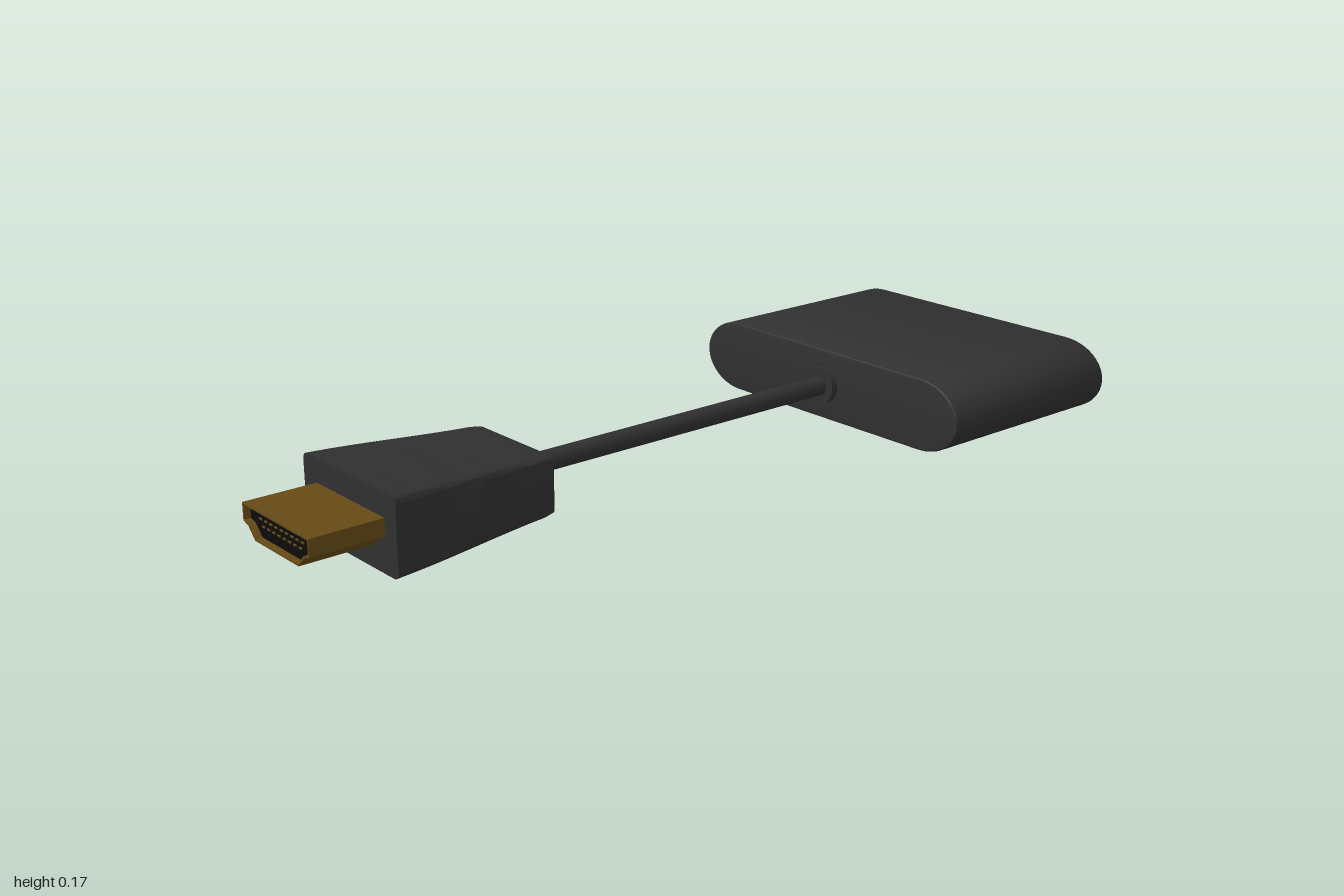
import * as THREE from 'three';
import { toCreasedNormals } from 'three/addons/utils/BufferGeometryUtils.js';

const MID = 0.086; // height of the centre line
const material = (color) => new THREE.MeshStandardMaterial({ color });

export function createModel() {
  const group = new THREE.Group();
  const plastic = material(0x303030);
  const black = material(0x0c0c0c);
  const gold = material(0x654a15);
  const grey = material(0xaaaaaa);

  const add = (name, geometry, mat, x = 0, y = 0, z = 0, parent = group) => {
    const mesh = new THREE.Mesh(geometry, mat);
    mesh.name = name;
    mesh.position.set(x, y, z);
    parent.add(mesh);
    return mesh;
  };
  const extrude = (shape, depth, options = {}) => toCreasedNormals(
    new THREE.ExtrudeGeometry(shape, { depth, bevelEnabled: false, curveSegments: 20, ...options }), 0.6);
  const rod = (r, length) => new THREE.CylinderGeometry(r, r, length, 28).rotateX(Math.PI / 2);
  const polygon = (points) => new THREE.Shape(points.map(([x, y]) => new THREE.Vector2(x, y)));
  const makeGroup = (name) => {
    const part = new THREE.Group();
    part.name = name;
    group.add(part);
    return part;
  };

  // Adapter housing: flat slab with half-elliptical sides and a tiny edge bevel
  const b = 0.005;
  const housing = new THREE.Shape();
  housing.absellipse(0.3, 0, 0.117 - b, MID - b, -Math.PI / 2, Math.PI / 2);
  housing.absellipse(-0.3, 0, 0.117 - b, MID - b, Math.PI / 2, Math.PI * 1.5);
  housing.closePath();
  add('adapterHousing', extrude(housing, 0.526 - 2 * b, {
    bevelEnabled: true, bevelSize: b, bevelThickness: b, bevelSegments: 2,
  }), plastic, 0, MID, -0.998 + b);

  // Rear socket: trapezoid face with three rows of pin holes
  const socket = makeGroup('rearSocket');
  add('socketFace', extrude(polygon([[-0.085, -0.045], [0.085, -0.045], [0.115, 0.045], [-0.115, 0.045]]), 0.01),
    grey, 0, MID, -0.9995, socket);
  for (let row = 0; row < 3; row++) {
    for (let i = 0; i < 5; i++) {
      add('pinHole', rod(0.0045, 0.002), plastic,
        (i - 2) * 0.034 + (row - 1) * 0.008, MID + (row - 1) * 0.025, -0.9992, socket);
    }
  }

  // Screw holes either side of the socket
  for (const side of [-1, 1]) {
    add('screwRing', new THREE.TorusGeometry(0.016, 0.003, 8, 28), grey, side * 0.237, MID, -0.997);
    add('screwHole', rod(0.014, 0.003), black, side * 0.237, MID, -0.9975);
  }

  // Cable with a collar at each end
  add('cable', rod(0.023, 0.94), plastic, 0, MID, -0.02);
  add('housingCollar', rod(0.043, 0.03), plastic, 0, MID, -0.47);
  add('plugCollar', rod(0.041, 0.04), plastic, 0, MID, 0.43);

  // Plug grip: rounded rectangle that tapers towards the cable
  const w = 0.17, h = MID, r = 0.016;
  const outline = new THREE.Shape();
  outline.absarc(w - r, h - r, r, 0, Math.PI / 2);
  outline.absarc(-w + r, h - r, r, Math.PI / 2, Math.PI);
  outline.absarc(-w + r, -h + r, r, Math.PI, Math.PI * 1.5);
  outline.absarc(w - r, -h + r, r, Math.PI * 1.5, Math.PI * 2);
  outline.closePath();
  const length = 0.4;
  const grip = new THREE.ExtrudeGeometry(outline, {
    depth: length, steps: 16, bevelEnabled: false, curveSegments: 6,
  });
  const p = grip.attributes.position;
  for (let i = 0; i < p.count; i++) {
    const t = p.getZ(i) / length;
    const s = 0.6 * t + 0.4 * THREE.MathUtils.smoothstep(t, 0, 1);
    const nose = t < 0.001 ? 0.97 : 1;
    p.setX(i, p.getX(i) * nose * THREE.MathUtils.lerp(0.8, 1, s));
    p.setY(i, p.getY(i) * nose * THREE.MathUtils.lerp(0.75, 1, s));
  }
  add('plugGrip', toCreasedNormals(grip, 0.6), plastic, 0, MID, 0.435);

  // Front connector: thin metal shell around a black core
  const profile = (k) => [
    [-0.126 + k, 0.118 - k], [-0.126 + k, 0.08 + k * 0.6], [-0.107 + k * 0.8, 0.074 + k * 0.8],
    [-0.083 + k * 0.5, 0.05 + k], [0.083 - k * 0.5, 0.05 + k],
    [0.107 - k * 0.8, 0.074 + k * 0.8], [0.126 - k, 0.08 + k * 0.6], [0.126 - k, 0.118 - k],
  ];
  const connector = makeGroup('frontConnector');
  connector.position.x = 0.004;
  const shell = polygon(profile(0));
  shell.holes.push(new THREE.Path(polygon(profile(0.004)).getPoints()));
  add('connectorShell', extrude(shell, 0.18), gold, 0, 0, 0.82, connector);
  add('connectorCore', extrude(polygon(profile(0.0035)), 0.165), black, 0, 0, 0.82, connector);

  // Two staggered rows of contacts
  for (const [count, y] of [[9, 0.093], [8, 0.079]]) {
    for (let i = 0; i < count; i++) {
      add('contact', new THREE.BoxGeometry(0.01, 0.003, 0.008), gold,
        (i - (count - 1) / 2) * 0.02, y, 0.984, connector);
    }
  }
  return group;
}
